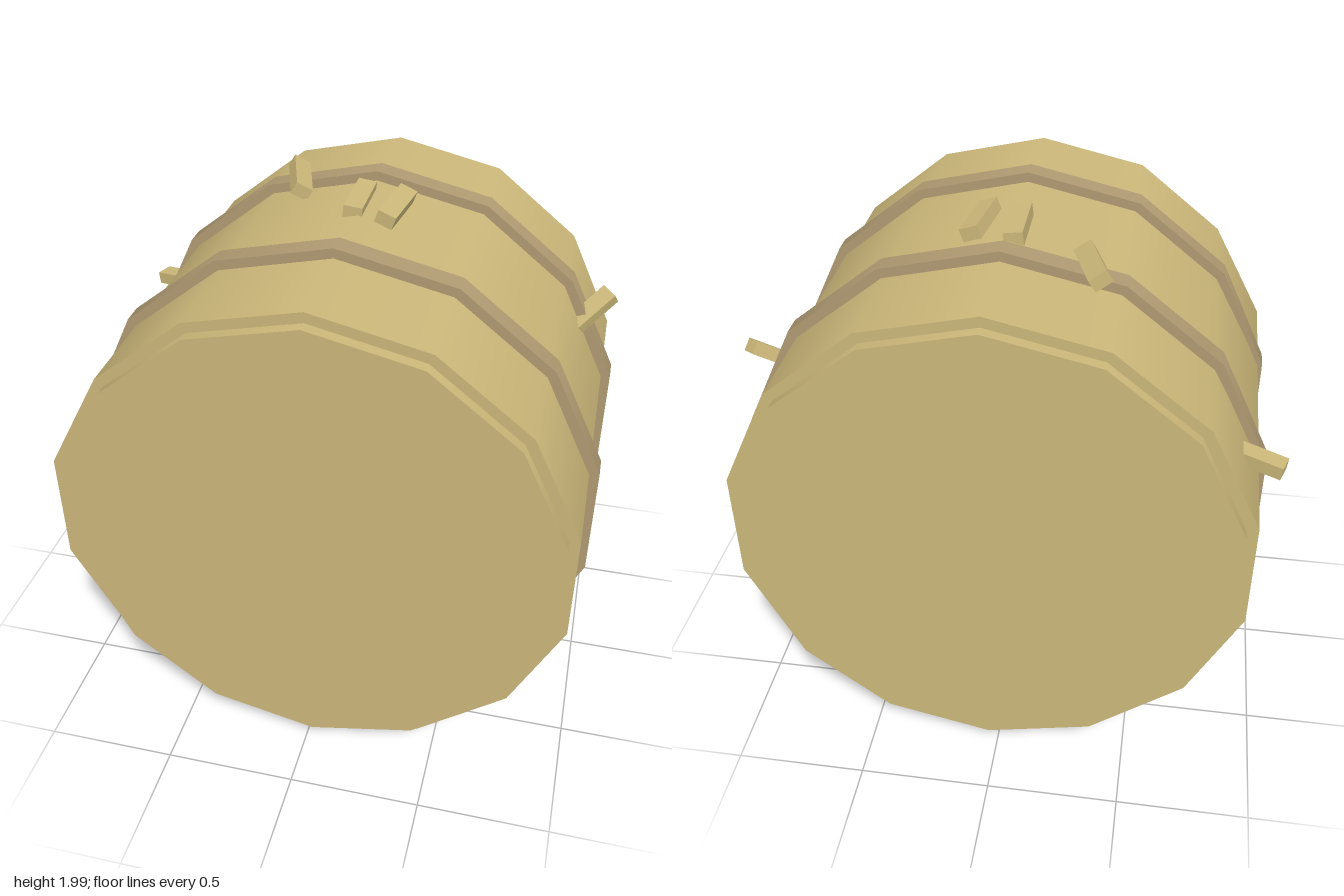
import * as THREE from 'three';

const CX = 0.03, CY = 0.995, SIDES = 14;

export function createModel() {
  const group = new THREE.Group();
  group.name = 'hayBale';
  const hay = new THREE.MeshStandardMaterial({ color: 0xccb87a });
  hay.name = 'hay';
  const twine = new THREE.MeshStandardMaterial({ color: 0xb09b72 });
  twine.name = 'twine';

  const add = (name, geometry, material, x, y, z) => {
    const mesh = new THREE.Mesh(geometry, material);
    mesh.name = name;
    mesh.position.set(x, y, z);
    group.add(mesh);
    return mesh;
  };

  // 14-sided drum lying along z, with a corner at the very bottom
  const drum = (radius, depth) =>
    new THREE.CylinderGeometry(radius, radius, depth, SIDES).rotateX(Math.PI / 2);

  // Rolled body: bottom corner pressed flat, left side pinched a little at the back
  const body = drum(0.955, 1.5);
  const p = body.attributes.position;
  const floor = -0.955 * Math.cos(Math.PI / 7);
  for (let i = 0; i < p.count; i++) {
    p.setY(i, Math.max(p.getY(i), floor));
    if (p.getX(i) < -0.8) p.setX(i, p.getX(i) - 0.025 + (p.getZ(i) < 0 ? 0.02 : 0));
  }
  add('rolledBody', body, hay, CX, CY, 0);

  // End discs and binding bands
  for (const side of [1, -1]) {
    add(side > 0 ? 'frontDisc' : 'backDisc', drum(0.916, 0.08), hay, CX, CY, side * 0.753);
    add(side > 0 ? 'frontBand' : 'backBand', drum(0.992, 0.084), twine, CX, CY, side * 0.335);
  }

  // Loose straws: start, end, roll about their own length
  const straws = [
    [[0.01, 1.957, 0.03], [0.008, 1.957, -0.22], 0.12],
    [[0.135, 1.955, 0.055], [0.165, 1.955, -0.195], 0.35],
    [[-0.24, 1.92, -0.19], [-0.315, 1.93, -0.43], 0.55],
    [[0.8, 1.4, -0.265], [0.955, 1.54, -0.375], 0.3],
    [[-0.75, 1.335, -0.45], [-0.985, 1.305, -0.53], 0],
  ];
  straws.forEach(([a, b, roll], i) => {
    const start = new THREE.Vector3(...a), end = new THREE.Vector3(...b);
    const mid = start.clone().add(end).multiplyScalar(0.5);
    const box = new THREE.BoxGeometry(0.07, 0.05, start.distanceTo(end));
    const straw = add('straw' + (i + 1), box, hay, mid.x, mid.y, mid.z);
    straw.lookAt(end);
    straw.rotateZ(roll);
  });

  return group;
}
